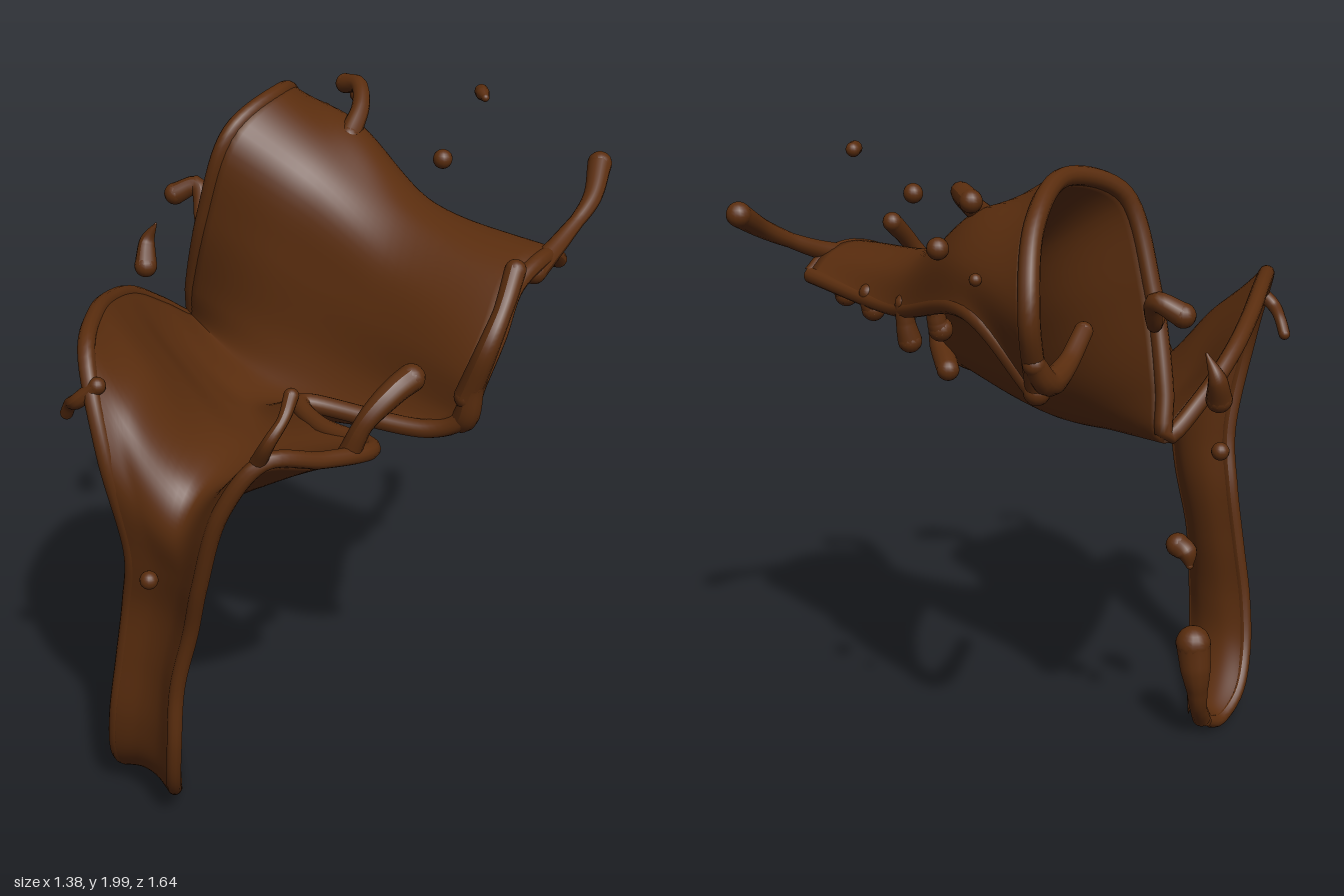
import * as THREE from 'three';

const chocolate = new THREE.MeshStandardMaterial({ color: 0x5a2d0e });
chocolate.name = 'chocolate brown';

const vec = (p) => new THREE.Vector3(...p);
const spline = (pts) => new THREE.CatmullRomCurve3(pts);

// Cross-sections of the liquid sheet, each running from -x to +x.
// Breaking wave: back lip curling under at -x, over the crest, down the wall.
const wave = [
  [[-0.46, 1.45, -0.5], [-0.28, 1.63, -0.57], [0.15, 1.54, -0.52], [0.54, 1.56, -0.55]],
  [[-0.52, 1.68, -0.57], [-0.22, 1.75, -0.55], [0.14, 1.63, -0.48], [0.56, 1.6, -0.48]],
  [[-0.43, 1.87, -0.48], [-0.17, 1.84, -0.45], [0.13, 1.67, -0.4], [0.58, 1.61, -0.38]],
  [[-0.3, 1.945, -0.27], [-0.11, 1.8, -0.31], [0.14, 1.66, -0.31], [0.59, 1.57, -0.26]],
  [[-0.3, 1.87, -0.07], [-0.08, 1.71, -0.19], [0.18, 1.57, -0.21], [0.62, 1.47, -0.15]],
  [[-0.37, 1.62, -0.03], [-0.1, 1.5, -0.13], [0.2, 1.41, -0.14], [0.62, 1.36, -0.07]],
  [[-0.46, 1.36, -0.06], [-0.14, 1.28, -0.08], [0.18, 1.24, -0.09], [0.59, 1.25, -0.05]],
];
// Valley, notch on the +x side, and the funnel with its raised -x rim.
const funnel = [
  [[-0.49, 1.24, -0.08], [-0.2, 1.18, -0.01], [0.08, 1.15, -0.01], [0.5, 1.2, -0.02]],
  [[-0.49, 1.32, 0.05], [-0.24, 1.2, 0.11], [-0.02, 1.14, 0.12], [0.17, 1.23, 0.14]],
  [[-0.45, 1.41, 0.2], [-0.25, 1.27, 0.23], [0.05, 1.15, 0.23], [0.3, 1.23, 0.215]],
  [[-0.36, 1.47, 0.36], [-0.15, 1.34, 0.38], [0.15, 1.16, 0.37], [0.52, 1.25, 0.255]],
  [[-0.23, 1.51, 0.54], [-0.05, 1.38, 0.54], [0.2, 1.15, 0.52], [0.52, 1.29, 0.45]],
  [[-0.1, 1.48, 0.69], [0.03, 1.32, 0.67], [0.22, 1.12, 0.61], [0.47, 1.33, 0.62]],
  [[0.02, 1.25, 0.75], [0.1, 1.12, 0.7], [0.22, 1.04, 0.665], [0.39, 1.19, 0.69]],
];
// Falling ribbon: x of both edges, y, z, and how far the middle sinks in z and y.
const ribbon = [
  [0.04, 0.3, 0.93, 0.69, -0.03, -0.02], [0, 0.24, 0.75, 0.67, -0.03, 0],
  [-0.03, 0.19, 0.55, 0.68, -0.03, 0], [-0.06, 0.18, 0.35, 0.69, -0.03, 0],
  [-0.1, 0.14, 0.19, 0.66, -0.02, 0.02], [-0.15, 0.06, 0.08, 0.58, -0.01, 0.02],
  [-0.18, -0.06, 0.032, 0.47, 0, 0.01], [-0.2, -0.15, 0.065, 0.39, 0, 0],
].map(([a, b, y, z, dz, dy]) => [0, 1 / 3, 2 / 3, 1].map((t, i) => {
  const mid = i === 1 || i === 2 ? 1 : 0;
  return [a + (b - a) * t, y + dy * mid, z + dz * mid];
}));

const rows = [...wave, ...funnel, ...ribbon].map((r) => spline(r.map(vec)));
const column = (u) => spline(rows.map((r) => r.getPoint(u)));

// Closed thin skin around the interpolated sheet
function sheetGeometry(nu, nv, half) {
  const grid = [];
  for (let j = 0; j <= nu; j++) grid.push(column(j / nu).getPoints(nv));
  const ring = 2 * nu + 2;
  const pos = [], index = [];
  for (let i = 0; i <= nv; i++) {
    const at = (j, sign) => {
      const du = grid[Math.min(j + 1, nu)][i].clone().sub(grid[Math.max(j - 1, 0)][i]);
      const dv = grid[j][Math.min(i + 1, nv)].clone().sub(grid[j][Math.max(i - 1, 0)]);
      const n = du.cross(dv).normalize();
      pos.push(...grid[j][i].clone().addScaledVector(n, sign * half).toArray());
    };
    for (let j = 0; j <= nu; j++) at(j, 1);
    for (let j = nu; j >= 0; j--) at(j, -1);
  }
  for (let i = 0; i < nv; i++) {
    for (let k = 0; k < ring; k++) {
      const a = i * ring + k, b = i * ring + ((k + 1) % ring);
      index.push(a, b, a + ring, b, b + ring, a + ring);
    }
  }
  const g = new THREE.BufferGeometry();
  g.setAttribute('position', new THREE.Float32BufferAttribute(pos, 3));
  g.setIndex(index);
  g.computeVertexNormals();
  return g;
}

// Tube whose radius follows a list of radii
function taperedTube(curve, radii, steps) {
  const sides = 12;
  const g = new THREE.TubeGeometry(curve, steps, 1, sides);
  const p = g.attributes.position, v = new THREE.Vector3();
  for (let i = 0; i <= steps; i++) {
    const c = curve.getPointAt(i / steps);
    const f = (i / steps) * (radii.length - 1);
    const k = Math.min(Math.floor(f), radii.length - 2);
    const r = THREE.MathUtils.lerp(radii[k], radii[k + 1], f - k);
    for (let j = 0; j <= sides; j++) {
      const n = i * (sides + 1) + j;
      v.fromBufferAttribute(p, n).sub(c).multiplyScalar(r).add(c);
      p.setXYZ(n, v.x, v.y, v.z);
    }
  }
  g.computeVertexNormals();
  return g;
}

export function createModel() {
  const model = new THREE.Group();
  model.name = 'liquidSplash';
  const add = (name, geometry, parent = model) => {
    const m = new THREE.Mesh(geometry, chocolate);
    m.name = name;
    parent.add(m);
    return m;
  };
  const ball = (name, p, r, parent) =>
    add(name, new THREE.SphereGeometry(r, 16, 12), parent).position.set(...p);
  const strand = (name, pts, radii) => {
    const g = new THREE.Group();
    g.name = name;
    model.add(g);
    add(name + 'Body', taperedTube(spline(pts.map(vec)), radii, 28), g);
    ball(name + 'Root', pts[0], radii[0], g);
    ball(name + 'Tip', pts[pts.length - 1], radii[radii.length - 1], g);
  };

  // Main sheet with softly rounded rims
  add('sheet', sheetGeometry(28, 150, 0.02));
  add('leftOpeningRim', taperedTube(column(0), [0.03, 0.026, 0.026, 0.025, 0.024, 0.022, 0.021], 170));
  add('notchedRim', taperedTube(column(1), [0.024, 0.026, 0.028, 0.023, 0.023, 0.022, 0.021], 170));
  add('backRim', taperedTube(rows[0], [0.03, 0.024, 0.022, 0.024], 40));
  ball('backLipCorner', [-0.46, 1.45, -0.5], 0.036);

  // Hook at the end of the ribbon
  strand('hook', [[-0.175, 0.065, 0.395], [-0.21, 0.14, 0.345], [-0.225, 0.24, 0.32], [-0.21, 0.375, 0.315]],
    [0.03, 0.028, 0.034, 0.05, 0.056]);

  // Strands thrown off the edges
  strand('backStrand', [[0.57, 1.58, -0.38], [0.56, 1.64, -0.54], [0.55, 1.71, -0.68], [0.5, 1.78, -0.79]],
    [0.036, 0.028, 0.022, 0.028, 0.036]);
  strand('sideStrand', [[0.6, 1.32, -0.05], [0.655, 1.48, -0.06], [0.655, 1.57, -0.12], [0.63, 1.65, -0.2]],
    [0.036, 0.032, 0.026, 0.03]);
  strand('lowerSideRoll', [[0.62, 1.36, -0.05], [0.59, 1.25, -0.06], [0.47, 1.2, -0.12]], [0.03, 0.038, 0.036]);
  strand('crestStrand', [[-0.13, 1.82, -0.4], [-0.16, 1.89, -0.49], [-0.22, 1.93, -0.55], [-0.29, 1.92, -0.57]],
    [0.035, 0.028, 0.025, 0.03]);
  strand('curlStrand', [[-0.5, 1.54, -0.54], [-0.49, 1.48, -0.49], [-0.44, 1.49, -0.39], [-0.38, 1.55, -0.28]],
    [0.03, 0.036, 0.028, 0.026]);
  strand('leftStrand', [[-0.4, 1.55, -0.04], [-0.48, 1.56, -0.12], [-0.53, 1.64, -0.16], [-0.59, 1.61, -0.12]],
    [0.026, 0.02, 0.026, 0.034]);
  strand('frontStrand', [[-0.03, 1.42, 0.72], [-0.08, 1.37, 0.75], [-0.13, 1.34, 0.73], [-0.16, 1.3, 0.72]],
    [0.024, 0.022, 0.018, 0.018]);
  strand('frontSideStrand', [[0.52, 1.27, 0.35], [0.56, 1.37, 0.33], [0.59, 1.44, 0.25], [0.6, 1.46, 0.2]],
    [0.03, 0.026, 0.034, 0.038]);
  strand('frontCornerStrand', [[0.46, 1.33, 0.63], [0.51, 1.41, 0.64], [0.52, 1.46, 0.6], [0.5, 1.5, 0.55]],
    [0.022, 0.018, 0.015, 0.02]);

  // Drips hanging under the back lip
  [[-0.05, 0.05], [0.1, 0.11], [0.28, 0.05], [0.42, 0.03]].forEach(([x, len], i) => {
    const y = 1.57 - 0.05 * x;
    strand('drip' + (i + 1), [[x, y, -0.52], [x, y - len * 0.6, -0.515], [x, y - len, -0.505]], [0.026, 0.027, 0.034]);
  });

  // Round droplets
  [[0.23, 1.83, -0.39, 0.028], [-0.48, 1.78, -0.7, 0.016], [-0.37, 1.84, -0.73, 0.028],
    [-0.6, 1.205, 0.02, 0.025], [0.215, 0.96, 0.79, 0.025]]
    .forEach(([x, y, z, r], i) => ball('droplet' + (i + 1), [x, y, z], r));

  // Teardrops
  strand('leftTeardrop', [[-0.64, 1.51, -0.08], [-0.67, 1.45, -0.07], [-0.65, 1.38, -0.04]], [0.004, 0.026, 0.036]);
  strand('lowTeardrop', [[-0.195, 0.64, 0.305], [-0.18, 0.68, 0.305], [-0.145, 0.695, 0.3]], [0.012, 0.034, 0.038]);
  strand('highTeardrop', [[0.245, 1.975, -0.56], [0.22, 1.98, -0.58], [0.205, 1.98, -0.595]], [0.012, 0.02, 0.02]);

  return model;
}
